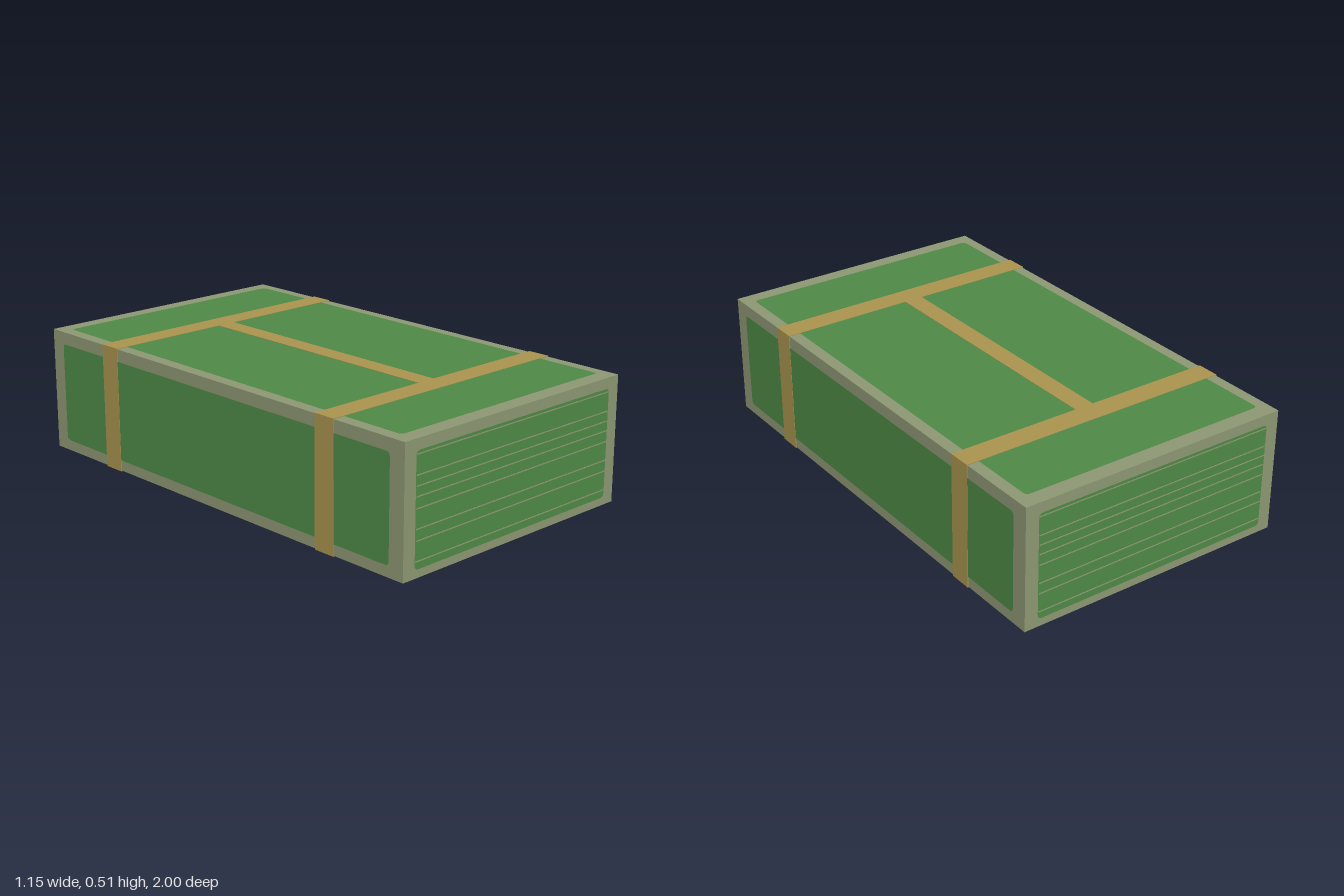
import * as THREE from 'three';

const W = 1.15, H = 0.51, L = 2;
const INSET = 0.003;

const material = (name, color) => {
  const m = new THREE.MeshStandardMaterial({ color });
  m.name = name;
  return m;
};

// Rectangle with softened corners, centred on the origin and facing +z
function panelGeometry(w, h, r = 0.018) {
  const x = w / 2, y = h / 2, s = new THREE.Shape();
  s.moveTo(-x + r, -y);
  s.lineTo(x - r, -y);
  s.quadraticCurveTo(x, -y, x, -y + r);
  s.lineTo(x, y - r);
  s.quadraticCurveTo(x, y, x - r, y);
  s.lineTo(-x + r, y);
  s.quadraticCurveTo(-x, y, -x, y - r);
  s.lineTo(-x, -y + r);
  s.quadraticCurveTo(-x, -y, -x + r, -y);
  return new THREE.ShapeGeometry(s, 4);
}

export function createModel() {
  const root = new THREE.Group();
  root.name = 'banknoteBundle';
  const paper = material('paperBorder', 0x8e9874);
  const green = material('noteGreen', 0x4f8a47);
  const tan = material('bandTan', 0xaa944f);

  const add = (name, geometry, mat, x, y, z) => {
    const mesh = new THREE.Mesh(geometry, mat);
    mesh.name = name;
    mesh.position.set(x, y, z);
    root.add(mesh);
    return mesh;
  };

  // Solid stack of notes, its colour showing as a border on every face
  add('noteStack', new THREE.BoxGeometry(W - 2 * INSET, H - 2 * INSET, L - 2 * INSET), paper, 0, H / 2, 0);

  // Green panels above and below, on both long sides and on both ends
  const lift = 0.0015;
  for (const s of [1, -1]) {
    const flat = add(s > 0 ? 'topPanel' : 'bottomPanel', panelGeometry(1.05, 1.87), green,
      0, H / 2 + s * (H / 2 - lift), 0);
    flat.rotation.x = -s * Math.PI / 2;

    const side = add(s > 0 ? 'leftPanel' : 'rightPanel', panelGeometry(1.86, 0.41), green,
      s * (W / 2 - lift), H / 2 - 0.003, 0);
    side.rotation.y = s * Math.PI / 2;

    const end = add(s > 0 ? 'frontPanel' : 'backPanel', panelGeometry(1.035, 0.43), green,
      0, 0.25, s * (L / 2 - lift));
    end.rotation.y = s > 0 ? 0 : Math.PI;

    // Fine paper edges across each end
    for (const y of [0.065, 0.14, 0.183, 0.257, 0.3, 0.338, 0.377, 0.452]) {
      add('paperEdge', new THREE.BoxGeometry(1.03, 0.004, 0.002), paper, 0, y, s * (L / 2 - 0.001));
    }

    // Paper band wrapped around the stack
    add(s > 0 ? 'frontBand' : 'backBand', new THREE.BoxGeometry(W, H, 0.094), tan, 0, H / 2, s * 0.613);
  }

  // Straight stripe along the top, joining the two bands
  add('topStripe', new THREE.BoxGeometry(0.08, 0.003, 1.14), tan, -0.013, H - 0.0015, 0);

  return root;
}
